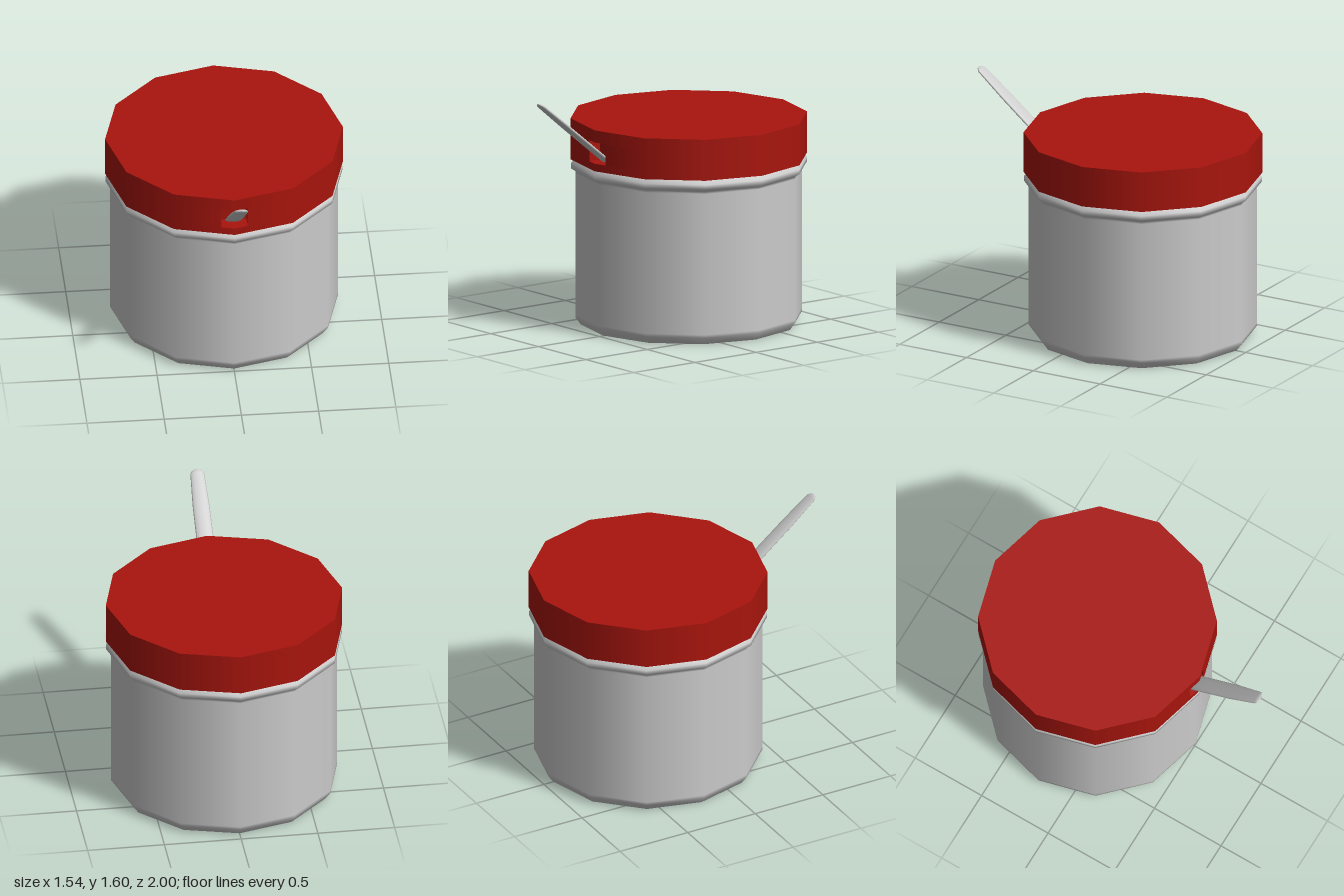
import * as THREE from 'three';

const SIDES = 12;
const CENTER_Z = -0.23;
const LID_R = 0.77;
const POCKET = { halfWidth: 0.085, back: 0.66, bottom: 1.145, top: 1.285 };

// Twelve-sided lid outline; optionally the front corner is cut by the pocket
function lidOutline(withPocket) {
  const pts = [];
  for (let i = withPocket ? 1 : 0; i < SIDES; i++) {
    const a = (i / SIDES) * Math.PI * 2;
    pts.push(new THREE.Vector2(LID_R * Math.sin(a), -LID_R * Math.cos(a)));
  }
  if (withPocket) {
    const w = POCKET.halfWidth;
    const mouth = LID_R - w * Math.tan(Math.PI / SIDES);
    for (const [x, y] of [[-w, -mouth], [-w, -POCKET.back], [w, -POCKET.back], [w, -mouth]]) {
      pts.push(new THREE.Vector2(x, y));
    }
  }
  return new THREE.Shape(pts);
}

// Horizontal slab of the lid with a smoothly shaded rim
function lidSlab(bottom, top, withPocket) {
  const geo = new THREE.ExtrudeGeometry(lidOutline(withPocket), { depth: top - bottom, bevelEnabled: false });
  geo.rotateX(-Math.PI / 2);
  geo.translate(0, bottom, 0);
  const p = geo.attributes.position;
  const n = geo.attributes.normal;
  const radial = new THREE.Vector3();
  const normal = new THREE.Vector3();
  for (let i = 0; i < p.count; i++) {
    radial.set(p.getX(i), 0, p.getZ(i));
    const r = radial.length();
    radial.normalize();
    normal.fromBufferAttribute(n, i);
    if (r > 0.7 && normal.dot(radial) > 0.9) n.setXYZ(i, radial.x, 0, radial.z);
  }
  return geo;
}

export function createModel() {
  const group = new THREE.Group();
  const grey = new THREE.MeshStandardMaterial({ color: 0xcccccc });
  const red = new THREE.MeshStandardMaterial({ color: 0xa8150d });
  const add = (parent, name, geo, mat) => {
    const mesh = new THREE.Mesh(geo, mat);
    mesh.name = name;
    parent.add(mesh);
    return mesh;
  };

  // Canister with chamfered foot and a raised collar under the lid
  const profile = [
    [0, 0], [0.69, 0], [0.703, 0.003], [0.737, 0.05], [0.737, 0.07],
    [0.737, 1.0], [0.737, 1.015], [0.768, 1.035], [0.768, 1.065], [0.742, 1.094], [0.73, 1.1],
  ].map(([r, y]) => new THREE.Vector2(r, y));
  add(group, 'canister', new THREE.LatheGeometry(profile, SIDES), grey).position.z = CENTER_Z;

  // Lid: three stacked slabs, the middle one holding the handle pocket
  const lid = new THREE.Group();
  lid.name = 'lid';
  lid.position.z = CENTER_Z;
  group.add(lid);
  add(lid, 'lidRim', lidSlab(1.095, POCKET.bottom, false), red);
  add(lid, 'lidPocketBand', lidSlab(POCKET.bottom, POCKET.top, true), red);
  add(lid, 'lidTop', lidSlab(POCKET.top, 1.365, false), red);

  // Flat tapered handle rising out of the pocket
  const start = new THREE.Vector3(0, 1.14, 0.43);
  const tip = new THREE.Vector3(0, 1.597, 0.998);
  const length = start.distanceTo(tip);
  const handleProfile = [
    [0, 0], [0.055, 0.001], [0.056, length * 0.3], [0.055, length * 0.65],
    [0.045, length * 0.96], [0.025, length * 0.99], [0, length],
  ].map(([r, y]) => new THREE.Vector2(r, y));
  const handleGeo = new THREE.LatheGeometry(handleProfile, 12);
  handleGeo.rotateY(Math.PI / 2);
  handleGeo.scale(1, 1, 0.28);
  const handle = add(group, 'handle', handleGeo, grey);
  handle.position.copy(start);
  handle.rotation.x = Math.atan2(tip.z - start.z, tip.y - start.y);

  return group;
}
